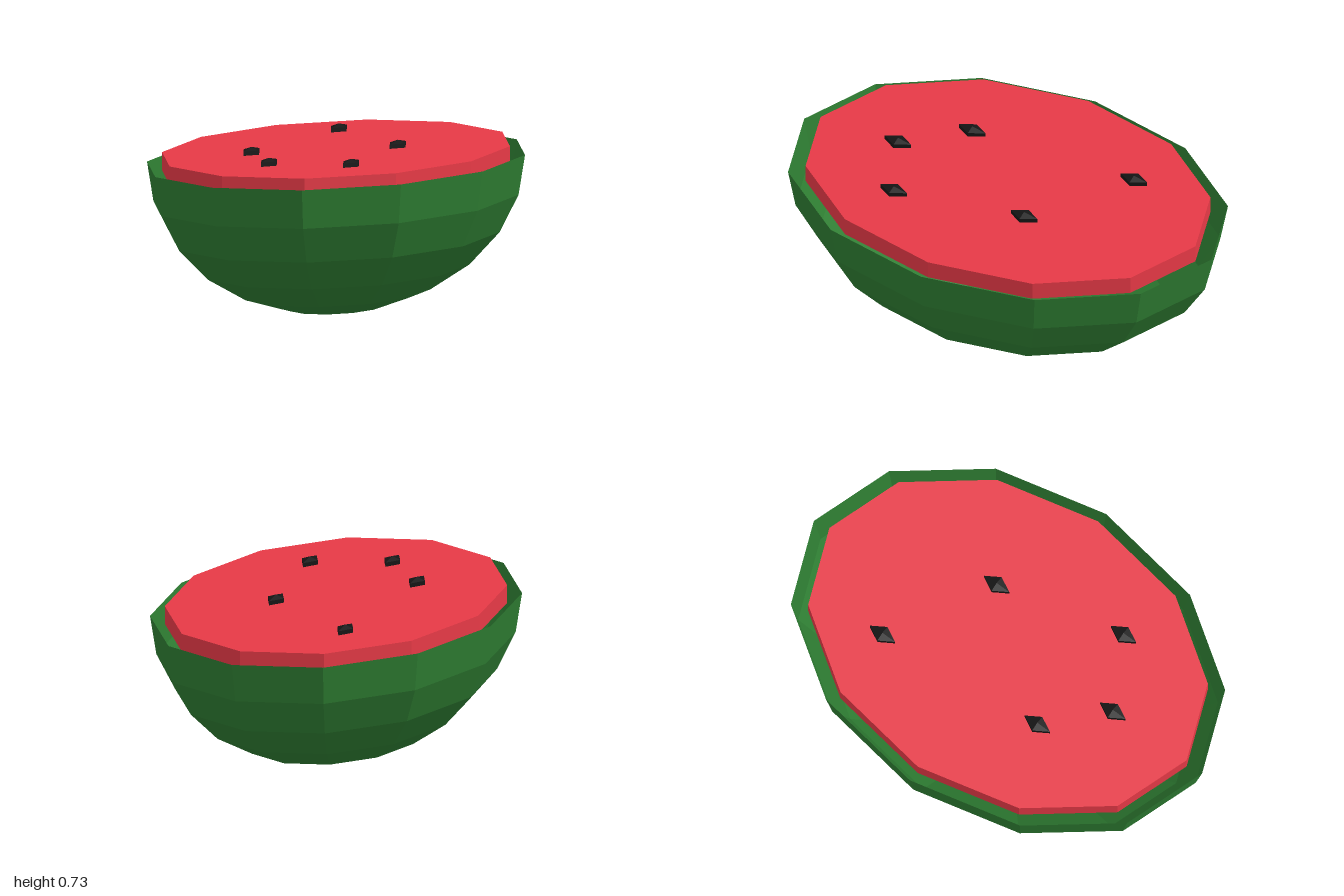
import * as THREE from 'three';

const RIM_Y = 0.656; // height of the cut edge

function part(name, geometry, color, side = THREE.FrontSide) {
  const material = new THREE.MeshStandardMaterial({ color, flatShading: true, side });
  const mesh = new THREE.Mesh(geometry, material);
  mesh.name = name;
  return mesh;
}

export function createModel() {
  const group = new THREE.Group();
  group.name = 'halfMelon';

  // Rind: open lower half of a faceted ellipsoid
  const rindGeometry = new THREE.SphereGeometry(1, 12, 6, 0, Math.PI * 2, Math.PI / 2, Math.PI / 2);
  rindGeometry.scale(0.73, RIM_Y, 1);
  const rind = part('rind', rindGeometry, 0x2e7d32, THREE.DoubleSide);
  rind.position.y = RIM_Y;
  group.add(rind);

  // Flesh: oval slab standing slightly proud of the rim, with a gap around it
  const fleshGeometry = new THREE.CylinderGeometry(1, 1, 0.078, 12);
  fleshGeometry.scale(0.672, 1, 0.92);
  const flesh = part('flesh', fleshGeometry, 0xe63946);
  flesh.position.y = RIM_Y;
  group.add(flesh);

  // Seeds: small four-sided pips half sunk into the flesh
  const seedGeometry = new THREE.SphereGeometry(1, 4, 3);
  seedGeometry.scale(0.043, 0.026, 0.075);
  const seeds = new THREE.Group();
  seeds.name = 'seeds';
  [[-0.27, -0.46], [0.19, -0.19], [-0.23, 0.31], [0.31, 0.38], [0, 0.54]].forEach(([x, z], i) => {
    const seed = part(`seed${i + 1}`, seedGeometry, 0x151515);
    seed.position.set(x, 0.7, z);
    seeds.add(seed);
  });
  group.add(seeds);

  return group;
}
